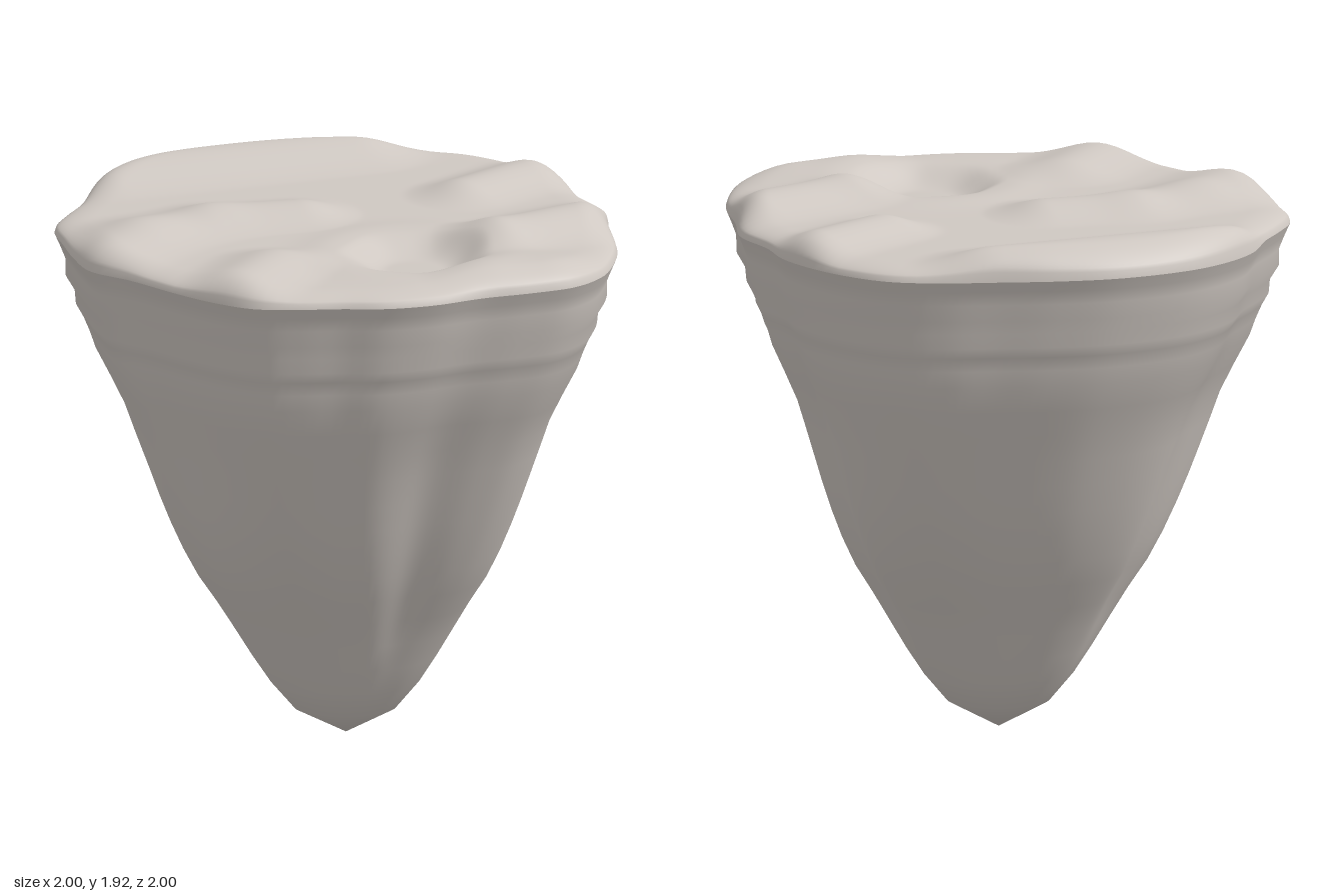
import * as THREE from 'three';

const SIDES = 160;

// Rim outline seen from above, as x, z pairs running from +x towards +z
const RIM = [
  0.97, 0, 0.995, 0.18, 0.99, 0.33, 0.93, 0.47, 0.8, 0.58, 0.65, 0.68, 0.5, 0.81, 0.35, 0.89,
  0.2, 0.925, 0.05, 0.97, -0.1, 0.995, -0.25, 0.95, -0.4, 0.87, -0.6, 0.74, -0.76, 0.66,
  -0.85, 0.52, -0.93, 0.35, -0.995, 0.2, -0.99, 0.05, -0.97, -0.1, -0.965, -0.3, -0.9, -0.48,
  -0.8, -0.62, -0.6, -0.78, -0.4, -0.87, -0.2, -0.93, 0, -0.985, 0.18, -1, 0.35, -0.94,
  0.5, -0.84, 0.62, -0.72, 0.7, -0.58, 0.83, -0.42, 0.89, -0.22,
];

// Rings up the flank: reach along x, reach along z, height; faintly rippled below the rim
const FLANK = [
  [0.185, 0.17, 0.1], [0.27, 0.245, 0.2], [0.335, 0.31, 0.3], [0.395, 0.37, 0.4],
  [0.455, 0.435, 0.5], [0.52, 0.505, 0.6], [0.57, 0.565, 0.7], [0.612, 0.62, 0.8],
  [0.65, 0.67, 0.9], [0.685, 0.715, 1], [0.72, 0.76, 1.1], [0.755, 0.805, 1.2],
  [0.805, 0.85, 1.3], [0.858, 0.89, 1.4], [0.88, 0.9, 1.46], [0.902, 0.915, 1.51],
  [0.925, 0.937, 1.55], [0.93, 0.935, 1.6], [0.961, 0.957, 1.65], [0.962, 0.962, 1.71],
  [0.982, 0.982, 1.76], [1, 1, 1.8],
];

// Crests on the top: start x, z, end x, z, width, height
const CRESTS = [
  [-0.93, -0.36, -0.18, -0.87, 0.19, 0.07],
  [-0.72, 0.6, -0.64, 0.33, 0.18, 0.05],
  [-0.64, 0.33, -0.45, 0.1, 0.17, 0.05],
  [-0.45, 0.1, -0.18, -0.04, 0.15, 0.055],
  [0.33, -0.42, 0.52, -0.75, 0.14, 0.06],
  [0.82, -0.2, 0.58, 0.08, 0.16, 0.07],
  [0.8, 0.42, 0.66, 0.52, 0.2, 0.035],
  [-0.18, 0.9, -0.12, 0.6, 0.16, 0.055],
];

// Clefts down the flank: angle in degrees, width in radians, depth
const CLEFTS = [[52, 0.2, 0.08], [-40, 0.15, 0.05], [140, 0.15, 0.03], [192, 0.15, 0.06]];

const smooth = (x, a, b) => THREE.MathUtils.smoothstep(x, a, b);

function segmentDistance(x, z, ax, az, bx, bz) {
  const dx = bx - ax, dz = bz - az;
  const t = THREE.MathUtils.clamp(((x - ax) * dx + (z - az) * dz) / (dx * dx + dz * dz), 0, 1);
  return Math.hypot(x - ax - t * dx, z - az - t * dz);
}

// Height of the uneven top, with a round hollow near the front
function topHeight(x, z, r) {
  let sum = 0;
  for (const [ax, az, bx, bz, w, rise] of CRESTS) {
    const d = segmentDistance(x, z, ax, az, bx, bz) / w;
    sum += (rise * Math.exp(-d * d)) ** 3;
  }
  let h = 1.84 + Math.max(Math.cbrt(sum), 0.006);
  const c = Math.hypot(x - 0.33, z - 0.35);
  const edge = 0.27 + 0.006 * Math.sin(7 * Math.atan2(z - 0.35, x - 0.33));
  h += 0.012 * Math.exp(-(((c - 0.32) / 0.1) ** 2));
  h = THREE.MathUtils.lerp(1.79, h, smooth(c, 0.1, edge));
  const rim = THREE.MathUtils.clamp((1 - r) / 0.13, 0, 1);
  return 1.805 + (h - 1.805) * Math.sqrt(rim * (2 - rim));
}

// Skins closed rings of [x, y, z] and closes them on one apex
function skin(rings, apex, apexFirst) {
  const positions = [...rings.flat(2), ...apex];
  const tip = rings.length * SIDES;
  const index = [];
  for (let i = 0; i < SIDES; i++) {
    const n = (i + 1) % SIDES;
    for (let j = 0; j < rings.length - 1; j++) {
      const a = j * SIDES + i, b = j * SIDES + n;
      index.push(a, a + SIDES, b, b, a + SIDES, b + SIDES);
    }
    if (apexFirst) index.push(tip, i, n);
    else index.push(tip - SIDES + i, tip, tip - SIDES + n);
  }
  const geometry = new THREE.BufferGeometry();
  geometry.setAttribute('position', new THREE.Float32BufferAttribute(positions, 3));
  geometry.setIndex(index);
  geometry.computeVertexNormals();
  return geometry;
}

export function createModel() {
  const stone = new THREE.MeshStandardMaterial({ color: 0xcfc8c2 });
  stone.name = 'grey stone';

  const corners = [];
  for (let i = 0; i < RIM.length; i += 2) corners.push(new THREE.Vector3(RIM[i], 0, RIM[i + 1]));
  const outline = new THREE.CatmullRomCurve3(corners, true).getSpacedPoints(SIDES).slice(0, SIDES);

  // Tapering flank: lobes round off towards the tip, with a belly on two opposite corners
  const flankRings = FLANK.map(([fx, fz, y]) => outline.map((p) => {
    const low = 1 - smooth(y, 0.5, 1.8);
    const lobes = -0.9 * (1 - smooth(y, 0.2, 1.2));
    const angle = Math.atan2(p.z, p.x);
    const belly = Math.max(0, -Math.sin(2 * angle)) ** 2;
    let s = 1 + (p.length() / 0.97 - 1) * lobes + 0.07 * low * belly;
    for (const [deg, width, depth] of CLEFTS) {
      const off = angle - THREE.MathUtils.degToRad(deg);
      const d = Math.atan2(Math.sin(off), Math.cos(off)) / width;
      s -= depth * low * smooth(y, 0.2, 0.6) * Math.exp(-d * d);
    }
    return [p.x * fx * s, y, p.z * fz * s];
  }));
  const flank = new THREE.Mesh(skin(flankRings, [0, 0, 0], true), stone);
  flank.name = 'rockFlank';

  // Uneven top surface
  const topRings = [];
  const COUNT = 60;
  for (let j = 0; j < COUNT; j++) {
    const r = 1 - (j / COUNT) ** 1.25;
    topRings.push(outline.map((p) => {
      const x = p.x * r, z = p.z * r;
      return [x, j ? topHeight(x, z, r) : 1.8, z];
    }));
  }
  const top = new THREE.Mesh(skin(topRings, [0, topHeight(0, 0, 0), 0], false), stone);
  top.name = 'rockTop';

  const group = new THREE.Group();
  group.name = 'floatingRock';
  group.add(flank, top);
  return group;
}
